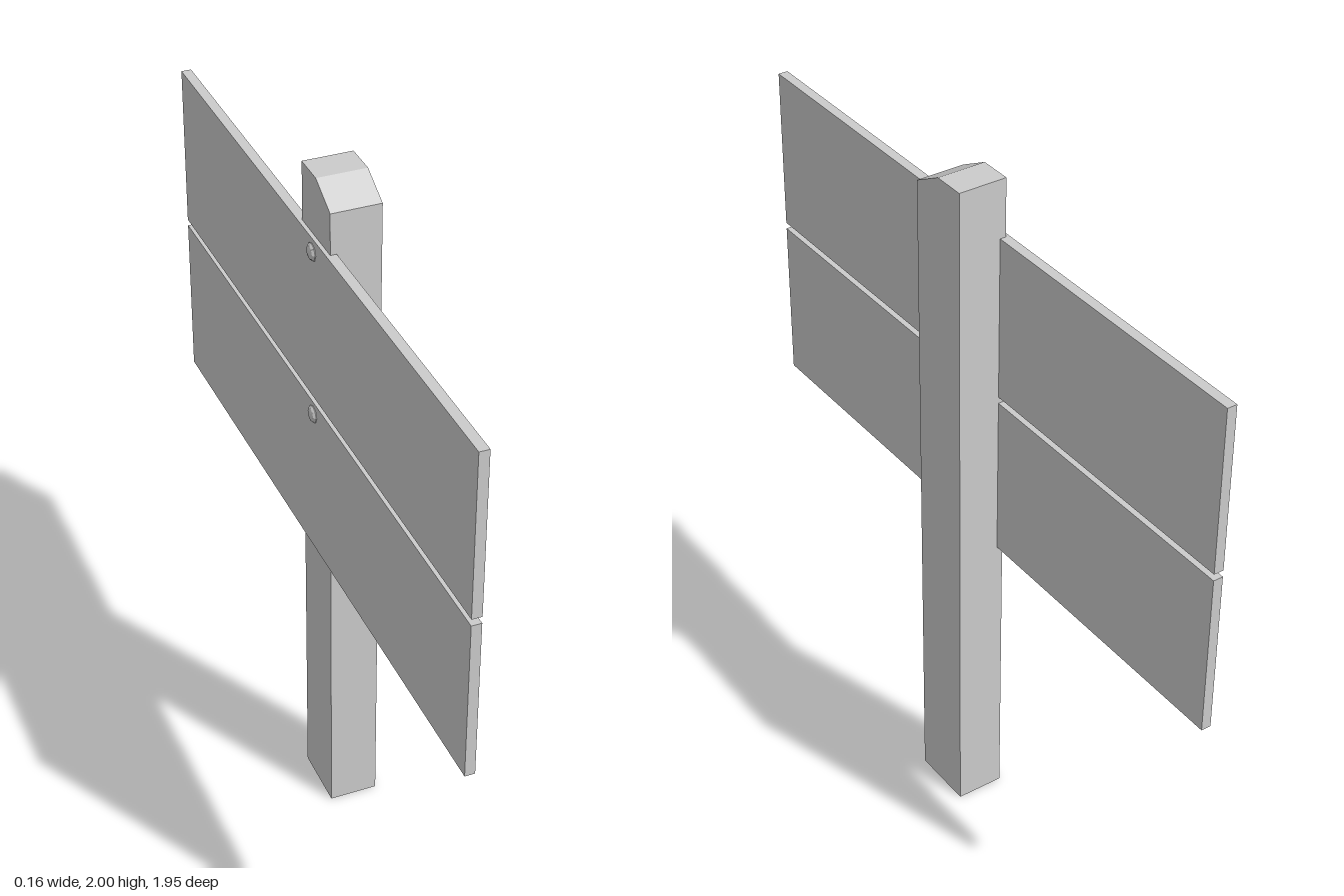
import * as THREE from 'three';

const material = new THREE.MeshStandardMaterial({ color: 0xcccccc, flatShading: true });

function addMesh(group, name, geometry, x, y, z) {
  const mesh = new THREE.Mesh(geometry, material);
  mesh.name = name;
  mesh.position.set(x, y, z);
  group.add(mesh);
  return mesh;
}

export function createModel() {
  const group = new THREE.Group();
  group.name = 'signpost';

  // Post: side outline (z, y) with a sloped front half of the top, extruded across x
  const outline = new THREE.Shape([
    [-0.093, 0], [0.093, 0], [0.093, 1.95], [0, 2], [-0.093, 2],
  ].map(([z, y]) => new THREE.Vector2(-z, y)));
  const postGeometry = new THREE.ExtrudeGeometry(outline, { depth: 0.138, bevelEnabled: false });
  postGeometry.rotateY(Math.PI / 2);
  addMesh(group, 'post', postGeometry, -0.058, 0, 0);

  // Two sign boards let into the post, each held by a domed bolt
  const boards = [
    { name: 'upper', y: 1.597, boltY: 1.795 },
    { name: 'lower', y: 1.105, boltY: 1.305 },
  ];
  const boardGeometry = new THREE.BoxGeometry(0.028, 0.473, 1.948);
  const boltProfile = [[0.025, 0], [0.025, 0.004], [0.019, 0.01], [0.01, 0.013], [0, 0.014]]
    .map(([r, h]) => new THREE.Vector2(r, h));
  const boltGeometry = new THREE.LatheGeometry(boltProfile, 8);
  boltGeometry.rotateZ(Math.PI / 2); // dome points to -x

  for (const { name, y, boltY } of boards) {
    addMesh(group, name + 'Board', boardGeometry, -0.055, y, 0);
    addMesh(group, name + 'Bolt', boltGeometry, -0.067, boltY, 0);
  }
  return group;
}
